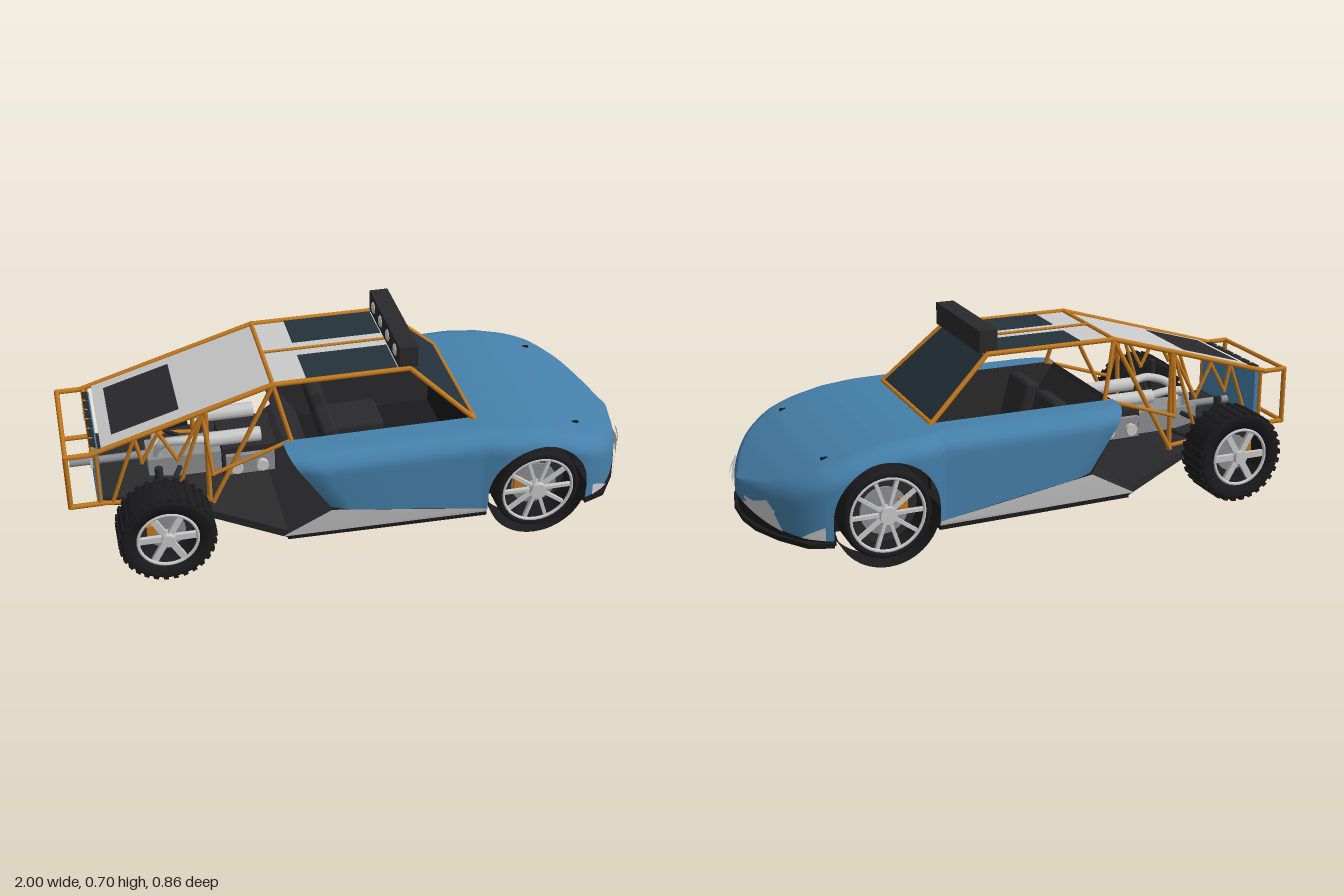
import * as THREE from 'three';
import { RoundedBoxGeometry } from 'three/addons/geometries/RoundedBoxGeometry.js';

const mat = (color, side = THREE.FrontSide) => new THREE.MeshStandardMaterial({ color, side });
const D = THREE.DoubleSide;
const blue = mat(0x4580aa, D), dark = mat(0x2a2a2c, D), black = mat(0x1b1b1d, D), orange = mat(0xc47a1e);
const grey = mat(0xcccccc, D), glass = mat(0x24323b, D), steel = mat(0x8d8f92, D);
const V = (x, y, z) => new THREE.Vector3(x, y, z);
const SIDES = [1, -1];

// Piecewise linear lookup
function table(x, pts) {
  for (let i = 1; i < pts.length; i++) {
    const [a, va] = pts[i - 1], [b, vb] = pts[i];
    if (x <= b) return va + (vb - va) * Math.max(0, (x - a) / (b - a));
  }
  return pts[pts.length - 1][1];
}

// Body rules along x
const NOSE = 0.405, WHEEL_X = 0.6, WHEEL_Y = 0.152, ARCH = 0.18;
const halfWidth = x => x > 0.7
  ? NOSE * Math.pow(Math.max(0, 1 - Math.pow((x - 0.7) / 0.3, 2.6)), 0.63)
  : table(x, [[-0.27, 0.37], [-0.2, 0.39], [0.4, 0.395], [0.48, 0.408], [0.7, NOSE]]);
const noseX = z => 0.7 + 0.3 * Math.pow(1 - Math.pow(z / NOSE, 1 / 0.63), 1 / 2.6);
const topY = x => table(x, [[-0.27, 0.39], [0.4, 0.39], [0.5, 0.383], [0.6, 0.373], [0.7, 0.35], [0.8, 0.315], [0.9, 0.265], [1, 0.2]]);
function bottomY(x) {
  const d = x - WHEEL_X;
  if (Math.abs(d) <= ARCH + 1e-6) return WHEEL_Y + Math.sqrt(Math.max(0, ARCH * ARCH - d * d));
  return d < 0 ? table(x, [[-0.27, 0.18], [0.42, 0.1]]) : 0.14 - 0.05 * halfWidth(x) / 0.4;
}
const rearEdge = y => -0.27 + (0.39 - y) / 0.21 * 0.14;

export function createModel() {
  const car = new THREE.Group();
  car.name = 'buggyCar';

  function add(name, geo, m, p = [0, 0, 0], parent = car) {
    const mesh = new THREE.Mesh(geo, m);
    mesh.name = name;
    mesh.position.set(...p);
    parent.add(mesh);
    return mesh;
  }
  const box = (name, w, h, d, m, p, parent) => add(name, new THREE.BoxGeometry(w, h, d), m, p, parent);
  // Surface through rows of points
  function skin(name, rows, m, flat = false) {
    const n = rows[0].length, idx = [];
    for (let i = 0; i < rows.length - 1; i++) for (let j = 0; j < n - 1; j++) {
      const a = i * n + j, b = a + n;
      idx.push(a, a + 1, b, a + 1, b + 1, b);
    }
    let g = new THREE.BufferGeometry().setFromPoints(rows.flat());
    g.setIndex(idx);
    if (flat) g = g.toNonIndexed();
    g.computeVertexNormals();
    return add(name, g, m);
  }
  // Straight round bar between two points
  function bar(name, a, b, r, m) {
    const d = b.clone().sub(a);
    const mesh = add(name, new THREE.CylinderGeometry(r, r, d.length() + r, 8), m);
    mesh.position.copy(a).add(b).multiplyScalar(0.5);
    mesh.quaternion.setFromUnitVectors(V(0, 1, 0), d.normalize());
    return mesh;
  }
  const path = (name, pts, r, m) => pts.slice(1).forEach((p, i) => bar(name, V(...pts[i]), V(...p), r, m));

  // Body shell: sections along x, wheel arch cut by the lower edge
  const xs = [-0.27, -0.25, -0.22, -0.18, 0, 0.2, 0.399, 0.4, 0.4199];
  for (let i = 0; i <= 24; i++) xs.push(WHEEL_X - ARCH * Math.cos(Math.PI * i / 24));
  for (let i = 0; i <= 20; i++) xs.push(0.7801 + 0.2199 * Math.sin(Math.PI / 2 * i / 20));
  const section = (x, s) => {
    const t = topY(x), b = bottomY(x), w = halfWidth(x), ry = 0.06, rz = Math.min(0.08, w * 0.7);
    const row = [V(x, t, s * (x < 0.4 ? 0.25 : 0))];
    for (let k = 0; k <= 14; k++) {
      const y = t - (t - b) * (k / 14) ** 2;
      const q = Math.max(0, (y - t + ry) / ry);
      const z = w - rz * (1 - Math.sqrt(Math.max(0, 1 - q * q)));
      const e = rearEdge(y), px = x < 0.4 ? e + (x + 0.27) / 0.67 * (0.4 - e) : x;
      row.push(V(px, y, s * z));
    }
    return row;
  };
  for (const s of SIDES) {
    skin('bodyShell', xs.map(x => section(x, s)), blue);
    // Sill wedge below the doors
    skin('sillPanel', [[V(-0.13, 0.18, s * 0.388), V(-0.3, 0.083, s * 0.372)], [V(0.42, 0.1, s * 0.396), V(0.42, 0.083, s * 0.39)]], grey);
    // Grille wall under the nose, lamp wedges and lamp bars
    const noseXs = xs.filter(x => x > 0.78);
    skin('grille', noseXs.map(x => [V(x - 0.008, bottomY(x) + 0.01, s * halfWidth(x) * 0.98), V(x - 0.008, 0.07, s * halfWidth(x) * 0.98)]), black);
    const onNose = (z, y, off) => V(noseX(z) + off, y, s * (z + off * 0.5));
    const patch = (name, zs, hi, lo, off, m) => skin(name, zs.map(z => [onNose(z, table(z, hi), off), onNose(z, table(z, lo), off)]), m);
    const zs = Array.from({ length: 11 }, (_, i) => 0.08 + 0.021 * i);
    patch('lampWedge', zs, [[0.08, 0.148], [0.235, 0.2], [0.29, 0.11]], [[0.08, 0.143], [0.29, 0.107]], 0.008, grey);
    patch('cornerWedge', [0.345, 0.365, 0.39], [[0.345, 0.1], [0.39, 0.14]], [[0.345, 0.099], [0.39, 0.094]], 0.006, grey);
    patch('lampBar', zs.slice(1, 10), [[0, 0.177]], [[0, 0.166]], 0.014, grey);
  }

  // Flat floor and splitter, narrowed between the front wheels
  const half = [[-0.28, 0.37], [0.42, 0.388], [0.42, 0.27], [0.78, 0.27], [0.78, 0.4], [0.86, 0.37], [0.93, 0.27], [0.98, 0.16], [1, 0.06]];
  const outline = [...half, ...half.map(([x, z]) => [x, -z]).reverse()].map(p => new THREE.Vector2(...p));
  const floor = add('floorPan', new THREE.ExtrudeGeometry(new THREE.Shape(outline), { depth: 0.016, bevelEnabled: false }), black, [0, 0.083, 0]);
  floor.rotation.x = Math.PI / 2;
  // Rising rear undertray
  skin('rearUndertray', [[-0.28, 0.37, 0.075], [-0.5, 0.285, 0.125], [-0.7, 0.2, 0.16], [-0.88, 0.2, 0.19]].map(([x, z, y]) =>
    [V(x, y, -z), V(x, y, z), V(x, y + 0.03, z), V(x, y + 0.03, -z), V(x, y, -z)]), dark, true);
  // Folded bulkhead behind the cabin
  skin('bulkhead', [[-0.268, 0.388, 0.3], [-0.258, 0.37, 0.355], [-0.13, 0.18, 0.385], [-0.29, 0.085, 0.37]].map(([x, y, z]) => [V(x, y, -z), V(x, y, z)]), dark, true);

  // Cabin tub and seats
  box('cabinFloor', 0.53, 0.01, 0.5, black, [0.13, 0.15, 0]);
  box('dashboard', 0.015, 0.235, 0.5, black, [0.39, 0.268, 0]);
  for (const s of SIDES) {
    skin('cabinWall', [[V(-0.27, 0.39, s * 0.25), V(-0.13, 0.15, s * 0.25)], [V(0.4, 0.39, s * 0.25), V(0.4, 0.15, s * 0.25)]], dark);
    add('seat', new RoundedBoxGeometry(0.2, 0.06, 0.17, 2, 0.02), dark, [0.06, 0.2, s * 0.12]);
    add('seatBack', new RoundedBoxGeometry(0.06, 0.24, 0.17, 2, 0.02), dark, [-0.07, 0.27, s * 0.12]).rotation.z = 0.25;
  }

  // Glass, roof and rear deck
  const plate = (name, x0, y0, h0, x1, y1, h1, m, z = 0) =>
    skin(name, [[V(x0, y0, z - h0), V(x0, y0, z + h0)], [V(x1, y1, z - h1), V(x1, y1, z + h1)]], m);
  plate('windscreen', 0.185, 0.587, 0.2, 0.4, 0.392, 0.252, glass);
  plate('roofPanel', -0.29, 0.59, 0.205, 0.19, 0.59, 0.205, grey);
  const deckY = x => 0.59 + (x + 0.29) * 0.295;
  plate('rearDeck', -0.87, deckY(-0.87), 0.2, -0.29, 0.59, 0.2, grey);
  plate('deckVent', -0.83, deckY(-0.83) + 0.005, 0.15, -0.6, deckY(-0.6) + 0.005, 0.15, dark);
  for (const s of SIDES) plate('roofWindow', -0.175, 0.594, 0.08, 0.14, 0.594, 0.08, glass, s * 0.122);
  bar('roofSpine', V(-0.29, 0.595, 0), V(0.14, 0.595, 0), 0.005, orange);

  // Light bar with round lamps
  box('lightBar', 0.065, 0.078, 0.42, dark, [0.175, 0.635, 0]);
  for (const z of [-0.15, -0.05, 0.05, 0.15]) add('roofLamp', new THREE.SphereGeometry(0.022, 16, 10), grey, [0.143, 0.635, z]).scale.x = 0.4;

  // Tubular cage
  for (const s of SIDES) {
    const z = s * 0.21, R = 0.009;
    path('cageRail', [[0.4, 0.39, s * 0.258], [0.18, 0.592, z], [-0.29, 0.592, z], [-0.91, 0.405, z], [-0.99, 0.405, z], [-0.99, 0.205, z], [-0.88, 0.205, z]], R, orange);
    path('cageBrace', [[-0.24, 0.39, s * 0.25], [-0.29, 0.59, z], [-0.51, 0.17, s * 0.235]], 0.008, orange);
    path('cageUpright', [[-0.52, 0.52, z], [-0.52, 0.16, z]], R, orange);
    path('cageTruss', [[-0.85, 0.2, z], [-0.76, 0.45, z], [-0.74, 0.35, z], [-0.68, 0.46, z], [-0.62, 0.34, z], [-0.53, 0.51, z], [-0.63, 0.2, z]], 0.007, orange);
    path('cageLowerRail', [[-0.88, 0.205, z], [-0.52, 0.17, z]], 0.008, orange);
    path('cageOutrigger', [[-0.53, 0.5, z], [-0.51, 0.3, s * 0.26], [-0.24, 0.39, s * 0.25]], 0.007, orange);
    path('rearPost', [[-0.89, 0.41, z], [-0.89, 0.205, z]], 0.007, orange);
  }
  for (const [x, y, h] of [[0.18, 0.592, 0.21], [-0.29, 0.592, 0.21], [-0.9, 0.405, 0.21], [-0.99, 0.405, 0.21], [-0.99, 0.205, 0.21], [0.4, 0.392, 0.258]])
    bar('crossTube', V(x, y, -h), V(x, y, h), 0.008, orange);

  // Rear panel, tail lamps and exhaust
  box('rearPanel', 0.02, 0.2, 0.38, blue, [-0.89, 0.302, 0]);
  for (const s of SIDES) box('tailLamp', 0.012, 0.045, 0.05, grey, [-0.903, 0.35, s * 0.15]);
  for (let i = 0; i < 6; i++) box('ventSlat', 0.02, 0.008, 0.045, dark, [-0.895, 0.412, -0.15 + i * 0.06]);
  bar('exhaustPipe', V(-0.97, 0.24, 0), V(-0.5, 0.24, 0), 0.014, steel);

  // Engine block, cylinders, intake pipes
  box('engineBlock', 0.19, 0.11, 0.2, dark, [-0.36, 0.23, 0]);
  box('gearbox', 0.26, 0.08, 0.13, steel, [-0.58, 0.215, 0]);
  for (const s of SIDES) {
    bar('intakeDrum', V(-0.5, 0.32, s * 0.08), V(-0.33, 0.32, s * 0.08), 0.026, grey);
    box('engineCover', 0.17, 0.075, 0.02, steel, [-0.36, 0.225, s * 0.108]);
    for (const x of [-0.41, -0.32]) bar('engineCap', V(x, 0.22, s * 0.11), V(x, 0.22, s * 0.125), 0.022, grey);
    const curve = new THREE.CatmullRomCurve3([V(-0.5, 0.32, s * 0.08), V(-0.58, 0.335, s * 0.09), V(-0.66, 0.31, s * 0.06), V(-0.68, 0.23, s * 0.03)]);
    add('intakePipe', new THREE.TubeGeometry(curve, 16, 0.015, 10), grey);
  }

  // Wheels: the axle runs along z with the outer side at +z
  function wheel(name, x, y, s, o) {
    const g = new THREE.Group(), h = o.width / 2, R = o.radius, r = o.rim;
    g.name = name;
    const prof = [[r, -h * 0.85], [R * 0.9, -h], [R * 0.97, -h * 0.88], [R, -h * 0.65], [R, h * 0.65], [R * 0.97, h * 0.88], [R * 0.9, h], [r, h * 0.85], [r, -h * 0.85]];
    add('tyre', new THREE.LatheGeometry(prof.map(p => new THREE.Vector2(...p)), 40), black, [0, 0, 0], g).rotation.x = Math.PI / 2;
    const disc = (n, rad, t, m, z) => add(n, new THREE.CylinderGeometry(rad, rad, t, 28), m, [0, 0, z], g).rotation.x = Math.PI / 2;
    add('rimLip', new THREE.TorusGeometry(r, 0.006, 8, 36), grey, [0, 0, h * 0.85], g);
    disc('wheelBack', r, 0.006, dark, -h * 0.5);
    disc('brakeDisc', r * 0.65, 0.008, steel, h * 0.1);
    disc('hub', r * 0.23, 0.04, grey, h * 0.75);
    box('brakeCaliper', 0.03, 0.05, 0.02, orange, [-r * 0.5 * s, r * 0.12, h * 0.25], g);
    for (let i = 0; i < o.spokes; i++) {
      const a = i / o.spokes * Math.PI * 2;
      box('spoke', r * 0.95, o.spokeWidth, 0.014, grey, [Math.cos(a) * r * 0.5, Math.sin(a) * r * 0.5, h * 0.7], g).rotation.z = a;
    }
    for (let i = 0; i < o.lugs; i++) {
      const a = i / o.lugs * Math.PI * 2;
      box('treadLug', 0.012, 0.016, o.width * 0.9, black, [Math.cos(a) * R * 0.985, Math.sin(a) * R * 0.985, 0], g).rotation.z = a;
    }
    g.position.set(x, y, s * o.z);
    if (s < 0) g.rotation.y = Math.PI;
    car.add(g);
  }
  for (const s of SIDES) {
    wheel('frontWheel', WHEEL_X, WHEEL_Y, s, { radius: 0.152, rim: 0.125, width: 0.12, z: 0.345, spokes: 10, spokeWidth: 0.012, lugs: 0 });
    wheel('rearWheel', -0.69, 0.173, s, { radius: 0.16, rim: 0.1, width: 0.14, z: 0.358, spokes: 6, spokeWidth: 0.022, lugs: 30 });
    // Front wheel housing
    const liner = add('archLiner', new THREE.CylinderGeometry(ARCH, ARCH, 0.13, 32, 1, true, Math.PI / 2, Math.PI), black, [WHEEL_X, WHEEL_Y, s * 0.335]);
    liner.rotation.x = -Math.PI / 2;
    box('archInnerWall', 0.36, 0.25, 0.01, black, [WHEEL_X, 0.205, s * 0.268]);
    // Rear suspension
    for (const [dx, y] of [[0.12, 0.2], [-0.12, 0.2], [0.08, 0.26]])
      bar('suspensionArm', V(-0.69 + dx, y, s * 0.14), V(-0.69, y - 0.03, s * 0.3), 0.009, dark);
    bar('shockAbsorber', V(-0.69, 0.18, s * 0.26), V(-0.69, 0.34, s * 0.25), 0.014, dark);
    bar('axleShaft', V(-0.69, 0.173, 0), V(-0.69, 0.173, s * 0.32), 0.012, steel);
  }
  return car;
}
